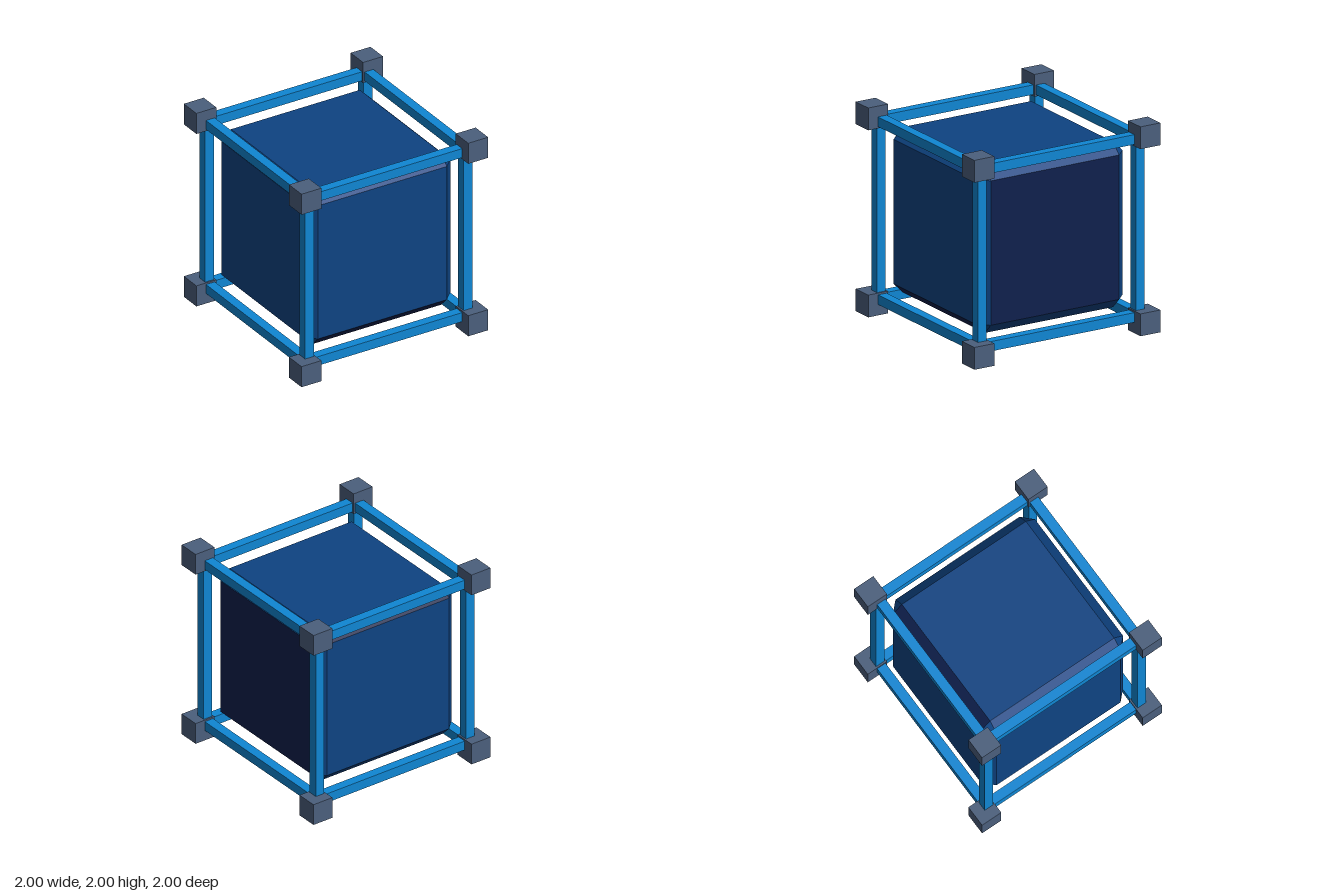
import * as THREE from 'three';

const mat = (name, color) => {
  const m = new THREE.MeshStandardMaterial({ color });
  m.name = name;
  return m;
};

const OUTER = 0.79, INNER = 0.69; // chamfered core: face distance and face half-size
const BAR = 0.85, BAR_W = 0.093;  // frame bars: offset from centre and thickness
const CORNER = 0.213;             // corner block size
const SIGNS = [-1, 1];

// The 24 corners of the chamfered core
function corePoints() {
  const pts = [];
  for (let axis = 0; axis < 3; axis++)
    for (const a of SIGNS) for (const b of SIGNS) for (const c of SIGNS) {
      const p = [];
      p[axis] = a * OUTER;
      p[(axis + 1) % 3] = b * INNER;
      p[(axis + 2) % 3] = c * INNER;
      pts.push(new THREE.Vector3(...p));
    }
  return pts;
}

// Flat polygon of the points furthest along a direction, ordered counter-clockwise
function facet(points, dir) {
  const n = dir.clone().normalize();
  const far = Math.max(...points.map(p => p.dot(n)));
  const ring = points.filter(p => p.dot(n) > far - 1e-4);
  const mid = ring.reduce((s, p) => s.add(p), new THREE.Vector3()).divideScalar(ring.length);
  const u = ring[0].clone().sub(mid).normalize();
  const v = n.clone().cross(u);
  const angle = p => {
    const q = p.clone().sub(mid);
    return Math.atan2(q.dot(v), q.dot(u));
  };
  ring.sort((a, b) => angle(a) - angle(b));
  const tris = [];
  for (let i = 1; i < ring.length - 1; i++) tris.push(ring[0], ring[i], ring[i + 1]);
  return tris;
}

function coreMesh(name, dirs, material) {
  const pts = corePoints();
  const geo = new THREE.BufferGeometry().setFromPoints(dirs.flatMap(d => facet(pts, d)));
  geo.computeVertexNormals();
  const mesh = new THREE.Mesh(geo, material);
  mesh.name = name;
  return mesh;
}

export function createModel() {
  const slate = mat('slate', 0x4b5f7c);
  const brightBlue = mat('bright blue', 0x0f86d3);
  const deepBlue = mat('deep blue', 0x0e4382);
  const navy = mat('navy', 0x0f204d);

  const model = new THREE.Group();
  model.name = 'framedCube';

  // Core: 6 faces, 12 chamfers and 8 corner triangles; three panels are navy
  const core = new THREE.Group();
  core.name = 'core';
  const isNavy = (x, y, z) => (x === 1 && !y && !z) || (x === 0 && y !== 0 && z === -y);
  const blueDirs = [], navyDirs = [];
  for (let x = -1; x <= 1; x++) for (let y = -1; y <= 1; y++) for (let z = -1; z <= 1; z++) {
    if (!x && !y && !z) continue;
    (isNavy(x, y, z) ? navyDirs : blueDirs).push(new THREE.Vector3(x, y, z));
  }
  core.add(coreMesh('corePanels', blueDirs, deepBlue), coreMesh('coreDarkPanels', navyDirs, navy));
  model.add(core);

  // Frame: four bars along each axis
  const frame = new THREE.Group();
  frame.name = 'frame';
  for (let axis = 0; axis < 3; axis++)
    for (const a of SIGNS) for (const b of SIGNS) {
      const size = [BAR_W, BAR_W, BAR_W];
      size[axis] = 1.6;
      const bar = new THREE.Mesh(new THREE.BoxGeometry(...size), brightBlue);
      bar.name = 'frameBar';
      bar.position.setComponent((axis + 1) % 3, a * BAR);
      bar.position.setComponent((axis + 2) % 3, b * BAR);
      frame.add(bar);
    }
  model.add(frame);

  // Corner blocks
  const corners = new THREE.Group();
  corners.name = 'corners';
  const blockGeo = new THREE.BoxGeometry(CORNER, CORNER, CORNER);
  for (const x of SIGNS) for (const y of SIGNS) for (const z of SIGNS) {
    const block = new THREE.Mesh(blockGeo, slate);
    block.name = 'cornerBlock';
    block.position.set(x, y, z).multiplyScalar(1 - CORNER / 2);
    corners.add(block);
  }
  model.add(corners);

  // Stand the parts on y = 0
  for (const part of [core, frame, corners]) part.position.y = 1;
  return model;
}
